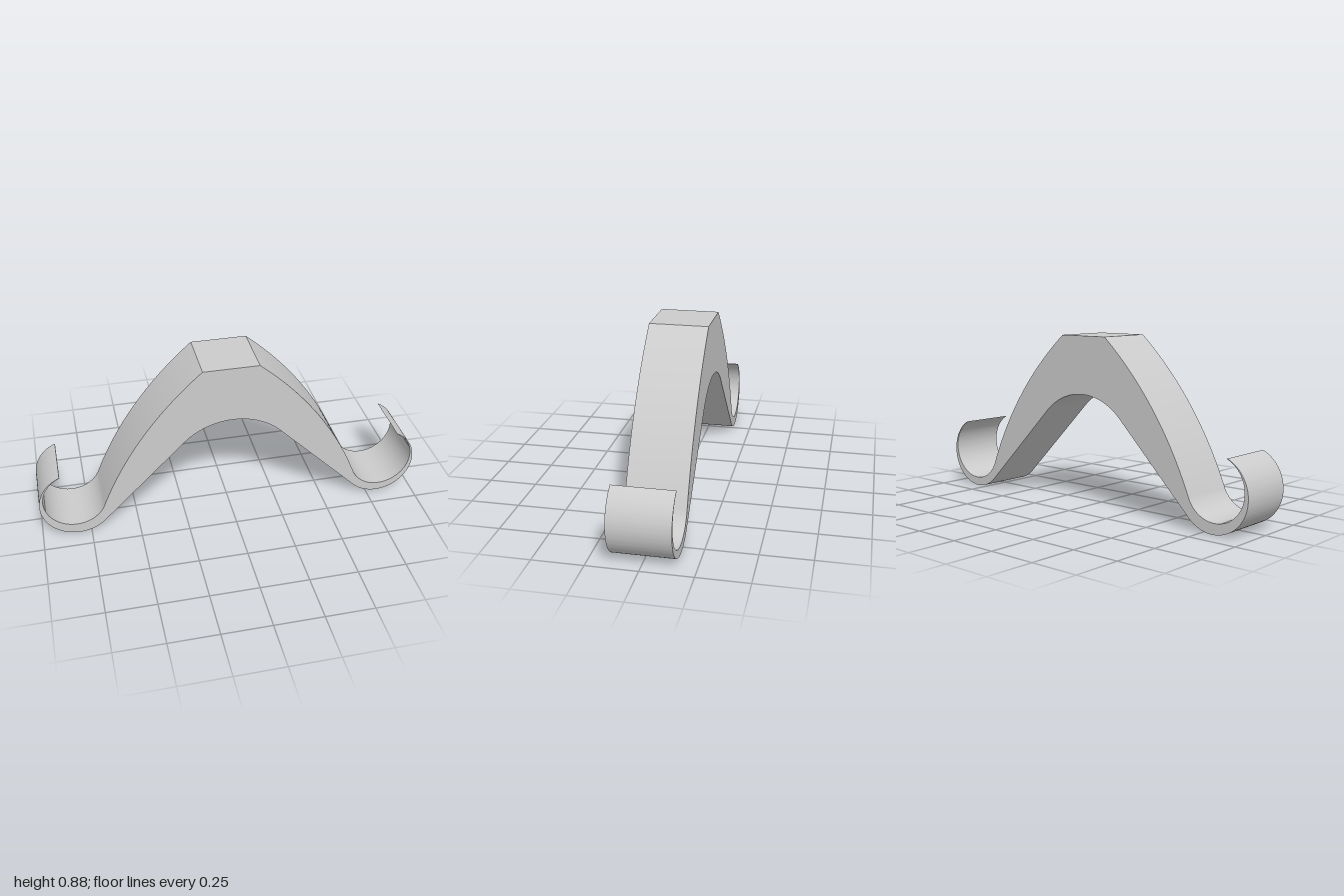
import * as THREE from 'three';
import { toCreasedNormals } from 'three/addons/utils/BufferGeometryUtils.js';

const rad = THREE.MathUtils.degToRad;
const DEPTH = 0.3;

export function createModel() {
  const group = new THREE.Group();
  group.name = 'archedDoubleHook';

  const s = new THREE.Shape();
  const arc = (x, y, r, from, to, clockwise) => s.absarc(x, y, r, rad(from), rad(to), clockwise);

  // Underside: left curl, straight leg, rounded crown, straight leg, right curl
  arc(-0.81, 0.19, 0.19, 113, 315, false);
  arc(0, 0.231, 0.354, 135, 45, true);
  arc(0.81, 0.19, 0.19, 225, 422.5, false);

  // Inside of the right curl, tapering to a thin tip
  arc(0.82, 0.21, 0.165, 61, -160, true);

  // Bowed shoulders and the flat top
  s.quadraticCurveTo(0.493, 0.585, 0.135, 0.882);
  s.lineTo(-0.15, 0.882);
  s.quadraticCurveTo(-0.496, 0.582, -0.67, 0.16);

  // Inside of the left curl
  arc(-0.82, 0.215, 0.16, 340, 113, true);
  s.closePath();

  const geometry = new THREE.ExtrudeGeometry(s, { depth: DEPTH, bevelEnabled: false, curveSegments: 40 });
  geometry.translate(0, 0, -DEPTH / 2);

  const body = new THREE.Mesh(
    toCreasedNormals(geometry, rad(30)),
    new THREE.MeshStandardMaterial({ color: 0xcccccc })
  );
  body.name = 'hookBody';
  group.add(body);
  return group;
}
